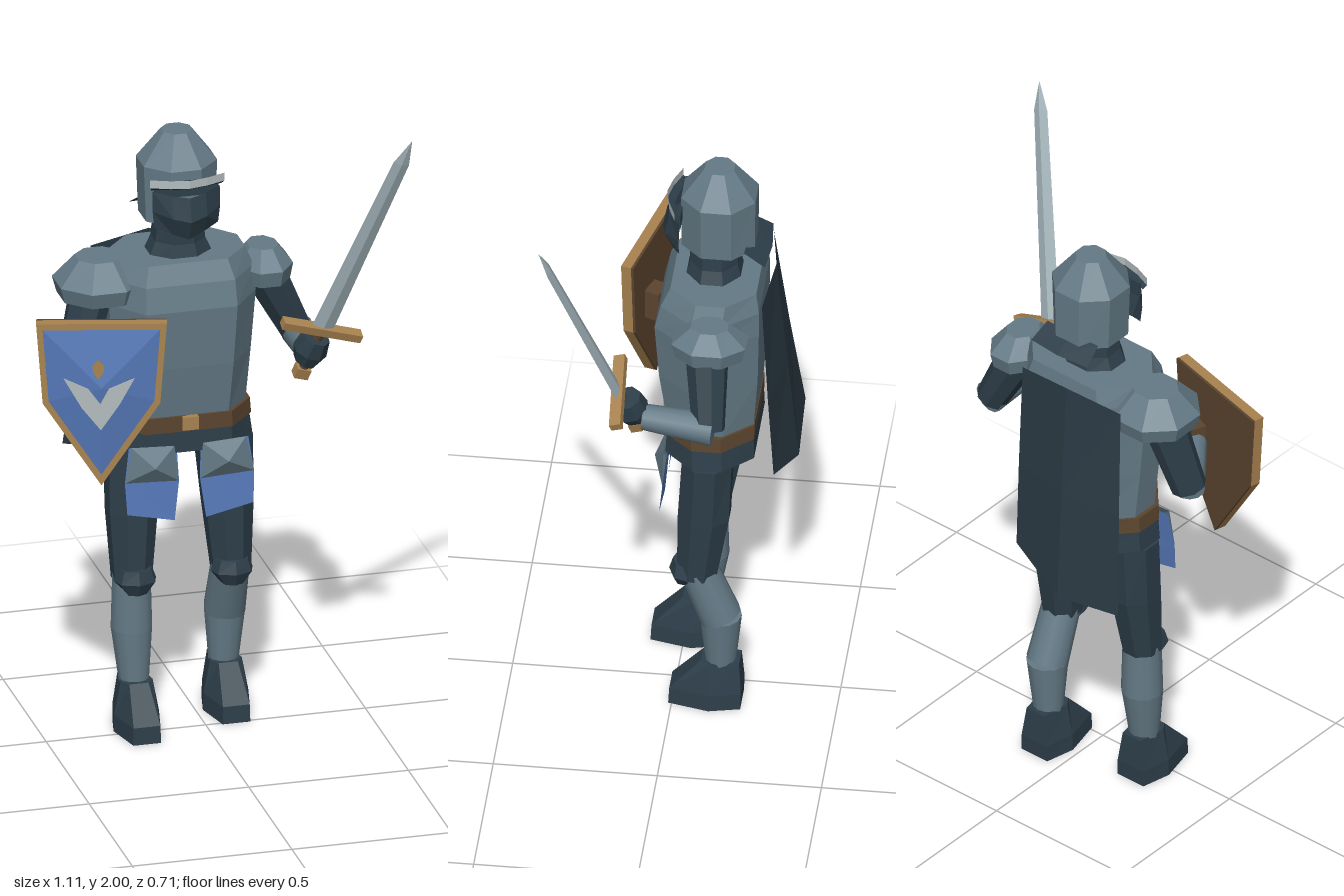
import * as THREE from 'three';

const mat = (name, color) => {
  const m = new THREE.MeshStandardMaterial({ color, side: THREE.DoubleSide });
  m.name = name;
  return m;
};
const V = (x, y, z) => new THREE.Vector3(x, y, z);

export function createModel() {
  const steel = mat('steel', 0x647a86), dark = mat('darkSteel', 0x2d3e49), blade = mat('bladeSteel', 0xa3b4ba);
  const blue = mat('blueCloth', 0x5578b8), gold = mat('brass', 0xa98350), brown = mat('leather', 0x5c452f);
  const pale = mat('paleTrim', 0xb4bcbd), cloak = mat('cloak', 0x2b3a44);

  const root = new THREE.Group();
  root.name = 'knight';
  const CX = -0.058;   // body centre line

  const add = (name, geo, material, parent = root) => {
    const m = new THREE.Mesh(geo, material);
    m.name = name;
    parent.add(m);
    return m;
  };
  const facets = (tris) => {
    const g = new THREE.BufferGeometry();
    g.setAttribute('position', new THREE.Float32BufferAttribute(tris.flat(), 3));
    g.computeVertexNormals();
    return g;
  };
  const flat = (geo) => {
    const g = geo.index ? geo.toNonIndexed() : geo;
    g.computeVertexNormals();
    return g;
  };

  // Closed solid through rings listed bottom to top, counter-clockwise from above
  const loft = (rings) => {
    const t = [], n = rings[0].length;
    const mid = (r) => [0, 1, 2].map((k) => r.reduce((s, p) => s + p[k], 0) / n);
    const lo = mid(rings[0]), hi = mid(rings[rings.length - 1]);
    for (let j = 0; j < n; j++) {
      const k = (j + 1) % n;
      for (let i = 0; i < rings.length - 1; i++) {
        const a = rings[i], b = rings[i + 1];
        t.push(a[j], a[k], b[k], a[j], b[k], b[j]);
      }
      t.push(lo, rings[0][k], rings[0][j], hi, rings[rings.length - 1][j], rings[rings.length - 1][k]);
    }
    return facets(t);
  };
  // Thin faceted sheet from rows of points
  const sheet = (rows) => {
    const t = [];
    for (let i = 0; i < rows.length - 1; i++) {
      for (let j = 0; j < rows[i].length - 1; j++) {
        const a = rows[i][j], b = rows[i][j + 1], c = rows[i + 1][j + 1], d = rows[i + 1][j];
        t.push(a, d, c, a, c, b);
      }
    }
    return facets(t);
  };
  const octRing = (cx, cz, y, rx, rz = rx) => Array.from({ length: 8 }, (_, i) => {
    const a = (i + 0.5) * Math.PI / 4, k = 1 / Math.cos(Math.PI / 8);
    return [cx + Math.cos(a) * rx * k, y, cz - Math.sin(a) * rz * k];
  });
  const limb = (name, a, b, ra, rb, material, smooth) => {
    const dir = b.clone().sub(a);
    const geo = new THREE.CylinderGeometry(rb, ra, dir.length(), smooth ? 12 : 8);
    const m = add(name, smooth ? geo : flat(geo), material);
    m.position.copy(a).addScaledVector(dir, 0.5);
    m.quaternion.setFromUnitVectors(V(0, 1, 0), dir.normalize());
    return m;
  };

  // Torso, belt and skirt plate
  const bodyRing = ([y, w, zf, zb]) => {
    const f = w * 0.62, c = (zf + zb) / 2;
    return [[w, c + 0.045], [w, c - 0.045], [f, zb], [-f, zb], [-w, c - 0.045], [-w, c + 0.045], [-f, zf], [f, zf]]
      .map(([x, z]) => [CX + x, y, z]);
  };
  const body = (name, levels, m) => add(name, loft(levels.map(bodyRing)), m);
  body('breastplate', [[1.03, 0.2, 0.022, -0.242], [1.2, 0.215, 0.045, -0.255], [1.39, 0.23, 0.058, -0.26],
    [1.47, 0.225, 0.04, -0.26], [1.53, 0.2, 0.012, -0.25]], steel);
  body('belt', [[0.985, 0.217, 0.03, -0.245], [1.035, 0.213, 0.03, -0.245]], brown);
  body('skirtPlate', [[0.915, 0.222, 0.025, -0.245], [0.986, 0.212, 0.022, -0.243]], dark);
  add('buckle', new THREE.BoxGeometry(0.05, 0.042, 0.02), gold).position.set(CX, 1.014, 0.034);

  // Neck and helmet
  add('neck', loft([octRing(CX, -0.11, 1.52, 0.1, 0.085), octRing(CX, -0.11, 1.57, 0.078, 0.073),
    octRing(CX, -0.11, 1.625, 0.072, 0.072)]), dark);
  add('helmet', loft([octRing(CX, -0.125, 1.64, 0.108, 0.112), octRing(CX, -0.125, 1.82, 0.115, 0.113),
    octRing(CX, -0.125, 1.915, 0.045, 0.045)]), steel);
  add('eyeSlit', new THREE.BoxGeometry(0.2, 0.05, 0.008), dark).position.set(CX, 1.765, -0.012);
  const bent = (y, w, zs, zc, yc = y) => [[CX - w, y, zs], [CX - w / 2, (y + yc) / 2, zc - 0.012],
    [CX, yc, zc], [CX + w / 2, (y + yc) / 2, zc - 0.012], [CX + w, y, zs]];
  add('visor', sheet([bent(1.765, 0.105, -0.012, 0.035, 1.75), bent(1.70, 0.106, -0.01, 0.05, 1.675),
    bent(1.645, 0.1, -0.012, 0.022, 1.61)]), dark);
  add('brow', sheet([bent(1.808, 0.116, 0, 0.035), bent(1.782, 0.116, 0, 0.035)]), pale);
  add('browUnderside', sheet([bent(1.782, 0.116, 0, 0.035), bent(1.77, 0.11, -0.012, 0.012)]), dark);
  add('neckGuard', sheet([[[CX - 0.1, 1.665, -0.21], [CX, 1.665, -0.215], [CX + 0.1, 1.665, -0.21]],
    [[CX - 0.11, 1.625, -0.275], [CX, 1.625, -0.285], [CX + 0.11, 1.625, -0.275]]]), dark);

  // Shoulder plates
  const pauldron = (name, x, z, rx, rz, top) => add(name, loft([octRing(x, z, 1.405, rx * 0.9, rz * 0.9),
    octRing(x, z, 1.455, rx, rz), octRing(x, z, top, rx * 0.52, rz * 0.5)]), steel);
  pauldron('rightPauldron', -0.305, -0.115, 0.132, 0.13, 1.53);
  pauldron('leftPauldron', 0.21, -0.125, 0.085, 0.113, 1.51);

  // Arms
  limb('leftUpperArm', V(0.2, 1.45, -0.115), V(0.325, 1.2, -0.135), 0.07, 0.05, dark);
  limb('leftForearm', V(0.325, 1.205, -0.15), V(0.307, 1.22, 0.065), 0.052, 0.04, steel, true);
  limb('rightUpperArm', V(-0.32, 1.45, -0.115), V(-0.4, 1.17, -0.07), 0.07, 0.055, dark);
  limb('rightForearm', V(-0.4, 1.17, -0.075), V(-0.29, 1.2, 0.08), 0.052, 0.042, steel, true);
  const strap = add('shieldGrip', new THREE.BoxGeometry(0.065, 0.1, 0.05), brown);
  strap.position.set(-0.28, 1.21, 0.095);
  strap.rotation.y = -0.4;

  // Legs: the right one stands a little forward
  for (const [side, x, kneeZ, calfZ, ankleZ] of [['right', -0.21, -0.07, -0.07, -0.055], ['left', 0.094, -0.075, -0.145, -0.145]]) {
    const s = side === 'left' ? 1 : -1;
    add(side + 'Thigh', loft([octRing(x + s * 0.004, kneeZ, 0.48, 0.058, 0.06),
      octRing(x - s * 0.002, -0.095, 0.7, 0.075, 0.078), octRing(x - s * 0.012, -0.105, 0.91, 0.086, 0.076)]), dark);
    limb(side + 'UpperShin', V(x + s * 0.004, 0.32, calfZ), V(x + s * 0.004, 0.5, kneeZ), 0.065, 0.06, steel, true);
    limb(side + 'LowerShin', V(x, 0.14, ankleZ), V(x + s * 0.004, 0.325, calfZ), 0.046, 0.065, steel, true);
    // Knee cap
    const kz = kneeZ + 0.045;
    add(side + 'KneeCap', loft([[0.445, 0.035, 0.025], [0.485, 0.066, 0.042], [0.525, 0.052, 0.03]].map(([y, w, d]) =>
      [[w, -0.02], [-w, -0.02], [-w * 0.8, d * 0.5], [0, d], [w * 0.8, d * 0.5]]
        .map(([px, pz]) => [x + px, y, kz + pz]))), dark);
    // Boot
    const boot = (y, w, toe, heel) => [[w, ankleZ + 0.03], [w * 0.7, ankleZ + heel], [-w * 0.7, ankleZ + heel],
      [-w, ankleZ + 0.03], [-w * 0.6, ankleZ + toe], [w * 0.6, ankleZ + toe]].map(([px, pz]) => [x + px, y, pz]);
    add(side + 'Boot', loft([boot(0, 0.072, 0.155, -0.065), boot(0.055, 0.07, 0.152, -0.067),
      boot(0.16, 0.05, 0.058, -0.06)]), dark);

    // Hip plate with hanging cloth
    const hip = new THREE.Group();
    hip.name = side + 'HipPlate';
    hip.position.set(CX + s * 0.115, 0.883, 0.015);
    hip.rotation.z = s * 0.05;
    root.add(hip);
    const c = [[-0.07, 0.06], [0.065, 0.06], [0.085, -0.055], [-0.085, -0.055]].map(([px, py]) => [px, py, 0.012]);
    add(side + 'Tasset', facets(c.flatMap((p, i) => [p, [0, 0, 0.045], c[(i + 1) % 4]].reverse())), steel, hip);
    add(side + 'Cloth', sheet([[[-0.075, 0.055, 0], [0.075, 0.055, 0]],
      [[-0.085, -0.055, 0.012], [0.085, -0.055, 0.012]],
      [[-0.075, s < 0 ? -0.155 : -0.18, 0.022], [0.075, s < 0 ? -0.18 : -0.155, 0.022]]]), blue, hip);
  }

  // Cape
  add('cape', sheet([
    [[-0.29, 1.5, -0.262], [-0.1, 1.525, -0.292], [0.09, 1.5, -0.27]],
    [[-0.32, 1.15, -0.305], [-0.11, 1.15, -0.325], [0.09, 1.15, -0.288]],
    [[-0.355, 0.82, -0.35], [-0.12, 0.785, -0.358], [0.085, 0.86, -0.305]]]), cloak);

  // Sword held in the left hand
  const sword = new THREE.Group();
  sword.name = 'sword';
  const up = V(0.225, 0.68, 0.215).normalize();
  const across = V(0.25, -0.078, -0.015).normalize();
  const face = across.clone().cross(up).normalize();
  across.copy(up).cross(face);
  sword.quaternion.setFromRotationMatrix(new THREE.Matrix4().makeBasis(across, up, face));
  sword.position.set(0.325, 1.32, 0.14);
  root.add(sword);
  const edge = (y, w, t) => [[w, y, 0], [0, y, -t], [-w, y, 0], [0, y, t]];
  add('blade', loft([edge(0, 0.036, 0.011), edge(0.66, 0.026, 0.008), edge(0.748, 0.001, 0.001)]), blade, sword);
  add('crossguard', new THREE.BoxGeometry(0.26, 0.026, 0.036), gold, sword);
  add('grip', new THREE.CylinderGeometry(0.015, 0.015, 0.15, 8), brown, sword).position.y = -0.08;
  add('pommel', new THREE.BoxGeometry(0.045, 0.035, 0.036), gold, sword).position.y = -0.165;
  add('leftHand', loft([octRing(0, -0.012, -0.13, 0.034, 0.04), octRing(0, -0.012, -0.09, 0.05, 0.05),
    octRing(0, -0.012, -0.035, 0.04, 0.045)]), dark, sword);

  // Shield
  const shield = new THREE.Group();
  shield.name = 'shield';
  shield.position.set(-0.36, 1.415, 0.122);
  shield.rotation.y = -0.25;
  root.add(shield);
  const vec = (pts) => pts.map(([x, y]) => new THREE.Vector2(x, y));
  const outer = [[-0.198, 0], [-0.178, -0.26], [0, -0.53], [0.178, -0.26], [0.198, 0]];
  const inner = [[-0.178, -0.02], [-0.16, -0.254], [0, -0.495], [0.16, -0.254], [0.178, -0.02]];
  const slab = (shape, depth) => new THREE.ExtrudeGeometry(shape, { depth, bevelEnabled: false });
  const rim = new THREE.Shape(vec(outer));
  rim.holes.push(new THREE.Path(vec(inner)));
  add('shieldRim', slab(rim, 0.032), gold, shield).position.z = -0.012;
  add('shieldBack', slab(new THREE.Shape(vec(outer)), 0.008), brown, shield).position.z = -0.02;
  add('shieldFace', facets(inner.flatMap(([x, y], i) => {
    const [nx, ny] = inner[(i + 1) % 5];
    return [[x, y, 0.018], [nx, ny, 0.018], [0, -0.2, 0.05]];
  })), blue, shield);
  // Painted chevron and diamond
  const plate = (name, pts, m) => add(name, slab(new THREE.Shape(vec(pts)), 0.004), m, shield).position.z = 0.05;
  plate('chevron', [[-0.115, -0.165], [-0.04, -0.2], [-0.004, -0.25], [0.022, -0.2], [0.1, -0.165],
    [0.055, -0.25], [-0.002, -0.335], [-0.06, -0.262]], pale);
  plate('diamond', [[-0.01, -0.105], [-0.028, -0.125], [-0.026, -0.145], [-0.01, -0.168], [0.006, -0.145], [0.008, -0.125]], gold);

  return root;
}
